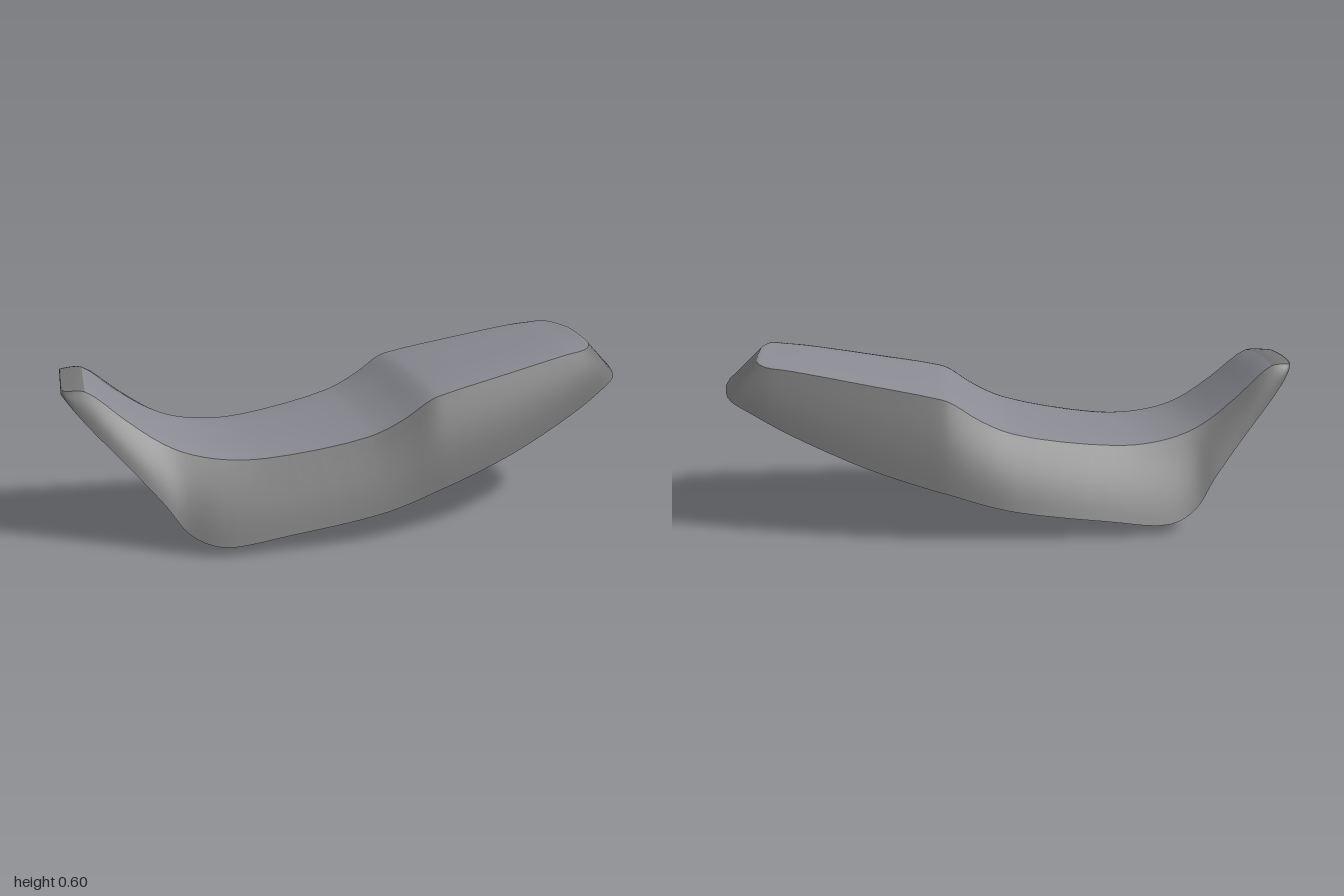
import * as THREE from 'three';
import { RoundedBoxGeometry } from 'three/addons/geometries/RoundedBoxGeometry.js';

const mat = (color) => new THREE.MeshStandardMaterial({ color, side: THREE.DoubleSide });
const coverMat = mat(0x8a8b92), skirtMat = mat(0x747474), baseMat = mat(0x808080), partMat = mat(0xcccccc);

// Half outline from nose to tail: seam x,y,z | crown height | hem x,y,z
const STATIONS = [
  [-1.0, 0.545, 0.13, 0.556, -1.0, 0.53, 0.135],
  [-0.985, 0.543, 0.148, 0.556, -0.98, 0.505, 0.165],
  [-0.925, 0.54, 0.158, 0.553, -0.93, 0.44, 0.195],
  [-0.8, 0.435, 0.178, 0.45, -0.8, 0.29, 0.252],
  [-0.7, 0.358, 0.195, 0.372, -0.7, 0.17, 0.3],
  [-0.62, 0.317, 0.21, 0.33, -0.63, 0.075, 0.337],
  [-0.5, 0.288, 0.23, 0.303, -0.53, 0.035, 0.38],
  [-0.35, 0.284, 0.25, 0.302, -0.3, 0.06, 0.402],
  [0.0, 0.341, 0.29, 0.357, 0.0, 0.105, 0.418],
  [0.12, 0.395, 0.3, 0.411, 0.12, 0.135, 0.415],
  [0.22, 0.46, 0.304, 0.475, 0.22, 0.167, 0.409],
  [0.28, 0.477, 0.301, 0.493, 0.28, 0.184, 0.403],
  [0.5, 0.519, 0.278, 0.537, 0.5, 0.255, 0.37],
  [0.75, 0.564, 0.247, 0.583, 0.75, 0.36, 0.315],
  [0.83, 0.574, 0.232, 0.595, 0.88, 0.425, 0.275],
  [0.862, 0.584, 0.2, 0.601, 0.955, 0.46, 0.23],
  [0.875, 0.595, 0.11, 0.602, 0.99, 0.482, 0.12],
  [0.88, 0.602, 0, 0.602, 1.0, 0.488, 0],
];
// Underside plate: x, y, half width of the flat, half width at the skirt, rise to the skirt
const PLATE = [
  [-0.97, 0.515, 0.12, 0.145, 0.01], [-0.8, 0.36, 0.16, 0.208, 0.01], [-0.7, 0.26, 0.17, 0.235, 0.02],
  [-0.6, 0.16, 0.17, 0.278, 0.03], [-0.5, 0.085, 0.17, 0.32, 0.05], [-0.35, 0.08, 0.18, 0.34, 0.06],
  [-0.12, 0.105, 0.2, 0.373, 0.04], [-0.06, 0.115, 0.28, 0.38, 0.035], [0.1, 0.17, 0.295, 0.375, 0.04],
  [0.33, 0.265, 0.295, 0.355, 0.04], [0.6, 0.36, 0.28, 0.312, 0.03], [0.78, 0.43, 0.25, 0.275, 0.02],
  [0.88, 0.465, 0.22, 0.245, 0.005], [0.94, 0.478, 0.16, 0.19, 0],
];
const STEPS = 4;

// Surface through rows of points
function grid(name, rows, material) {
  const n = rows[0].length, index = [];
  for (let i = 0; i < rows.length - 1; i++) {
    for (let j = 0; j < n - 1; j++) {
      const a = i * n + j, c = a + n;
      index.push(a, a + 1, c, a + 1, c + 1, c);
    }
  }
  const geometry = new THREE.BufferGeometry().setFromPoints(rows.flat());
  geometry.setIndex(index);
  geometry.computeVertexNormals();
  return named(name, geometry, material);
}

function named(name, geometry, material, x = 0, y = 0, z = 0) {
  const mesh = new THREE.Mesh(geometry, material);
  mesh.name = name;
  mesh.position.set(x, y, z);
  return mesh;
}

const box = (name, w, h, d, x, y, z) =>
  named(name, new RoundedBoxGeometry(w, h, d, 1, Math.min(w, h, d) * 0.15), partMat, x, y, z);

function sample(pick) {
  const curve = new THREE.CatmullRomCurve3(STATIONS.map(pick));
  return curve.getPoints((STATIONS.length - 1) * STEPS);
}

function plateY(x) {
  const k = Math.max(1, PLATE.findIndex((p) => p[0] >= x));
  const a = PLATE[k - 1], b = PLATE[k];
  return a[1] + ((b[1] - a[1]) * (x - a[0])) / (b[0] - a[0]);
}

const mirrorZ = (p) => new THREE.Vector3(p.x, p.y, -p.z);
// Continue half rows round the tail and along the other side
const wrap = (rows) => [...rows, ...rows.slice(0, -1).reverse().map((r) => r.map(mirrorZ))];

function buildShell(group) {
  const seam = sample((s) => new THREE.Vector3(s[0], s[1], s[2]));
  const crown = sample((s) => new THREE.Vector3(s[0], s[3], 0));
  const hem = sample((s) => new THREE.Vector3(s[4], s[5], s[6]));

  // Crowned top, split into nose lip and padded cover
  const top = seam.map((p, i) => Array.from({ length: 21 }, (_, j) => {
    const t = j / 10 - 1;
    return new THREE.Vector3(p.x, p.y + (crown[i].y - p.y) * (1 - Math.abs(t) ** 3), p.z * t);
  }));
  const rolled = top[0].map((p) => new THREE.Vector3(p.x + 0.015, p.y - 0.025, p.z));
  group.add(grid('noseLip', [rolled, ...top.slice(0, 2 * STEPS + 1)], skirtMat));
  group.add(grid('seatCover', top.slice(2 * STEPS), coverMat));

  // Side skirt with a slight outward bulge
  const side = seam.map((p, i) => Array.from({ length: 9 }, (_, j) => {
    const t = j / 8, q = p.clone().lerp(hem[i], t);
    q.z *= 1 + 0.03 * Math.sin(Math.PI * t);
    return q;
  }));
  group.add(grid('sideSkirt', wrap(side), skirtMat));

  // Inward return along the hem
  const flange = hem.map((p) => [p, new THREE.Vector3(p.x > 0 ? p.x * 0.975 : p.x, p.y + 0.006, p.z * 0.97)]);
  group.add(grid('hemFlange', wrap(flange), skirtMat));
}

function buildBase(group) {
  // Plate whose edges rise to meet the skirt
  const rows = PLATE.map(([x, y, w, outer, rise]) => [[outer, rise], [w, 0.004], [w - 0.02, 0], [0, 0], [0.02 - w, 0], [-w, 0.004], [-outer, rise]]
    .map(([z, dy]) => new THREE.Vector3(x, y + dy, z)));
  group.add(grid('basePlate', rows, baseMat));

  // Raised rails between the ladders: z range, x range
  const rails = [[0.19, 0.228, -0.04, 0.64], [0.105, 0.135, -0.25, 0.64], [-0.022, 0.02, -0.25, 0.64], [-0.165, -0.102, -0.11, 0.64]];
  for (const [z0, z1, x0, x1] of rails) {
    const strip = Array.from({ length: 17 }, (_, i) => {
      const x = x0 + ((x1 - x0) * i) / 16, y = plateY(x);
      return [[z1, y], [z1, y - 0.018], [z0, y - 0.018], [z0, y]].map(([z, h]) => new THREE.Vector3(x, h, z));
    });
    const rail = grid('baseRail', strip, baseMat);
    rail.geometry = rail.geometry.toNonIndexed();
    rail.geometry.computeVertexNormals();
    group.add(rail);
  }

  // Ladders of stiffening ribs: centre z, width, first x, last x
  const ladders = [[0.265, 0.07, 0.02, 0.58], [0.165, 0.055, -0.08, 0.6], [0.062, 0.08, -0.2, 0.6],
    [-0.062, 0.075, -0.2, 0.6], [-0.205, 0.08, 0.02, 0.58], [0.145, 0.05, 0.68, 0.8], [0.03, 0.09, 0.68, 0.8],
    [-0.1, 0.06, 0.68, 0.8], [0.1, 0.05, -0.85, -0.72], [-0.1, 0.05, -0.85, -0.72]];
  for (const [z, w, x0, x1] of ladders) {
    const count = Math.round((x1 - x0) / 0.065);
    for (let k = 0; k <= count; k++) {
      const x = x0 + ((x1 - x0) * k) / count;
      group.add(box('baseRib', 0.025, 0.024, w, x, plateY(x) - 0.006, z));
    }
  }
  for (const z of [0.1, -0.03]) group.add(box('rearBlock', 0.05, 0.02, 0.035, 0.84, 0.45, z));
}

function buildFittings(group) {
  // Rubber support pads with a stepped collar
  const profile = [[0, -0.042], [0.024, -0.04], [0.038, -0.03], [0.04, -0.02], [0.045, -0.017], [0.045, 0.01], [0.036, 0.016], [0.036, 0.04]];
  const padGeometry = new THREE.LatheGeometry(profile.map((p) => new THREE.Vector2(...p)), 24);
  for (const [x, z] of [[0.78, 0.195], [0.78, -0.16], [0.33, 0.275], [0.33, -0.215]]) {
    const pad = named('supportPad', padGeometry, partMat, x, plateY(x) - 0.012, z);
    pad.rotation.z = 0.37;
    group.add(pad);
  }

  // Latch loop under the tail
  const loop = named('latchLoop', new THREE.TorusGeometry(0.018, 0.005, 8, 16, Math.PI), partMat, 0.75, 0.358, 0.03);
  loop.rotation.set(0, Math.PI / 2, Math.PI);
  group.add(loop, box('latchBlock', 0.05, 0.03, 0.09, 0.72, 0.405, 0.03));
  for (const s of [-1, 1]) group.add(box('latchArm', 0.012, 0.05, 0.01, 0.75, 0.375, 0.03 + s * 0.018));

  // Side brackets, each with two studs
  for (const z of [0.245, -0.21]) {
    group.add(box('sideBracket', 0.1, 0.03, 0.055, -0.05, 0.11, z));
    for (const dx of [-0.025, 0.02]) {
      group.add(named('bracketStud', new THREE.CylinderGeometry(0.012, 0.012, 0.02, 12), partMat, -0.06 + dx, 0.094, z));
    }
  }

  // Front crossbar, end lugs and tongues
  const bar = named('frontCrossbar', new THREE.CylinderGeometry(0.012, 0.012, 0.29, 12), partMat, -0.36, 0.067, 0.025);
  bar.rotation.x = Math.PI / 2;
  group.add(bar, box('crossPanel', 0.12, 0.016, 0.28, -0.4, 0.075, 0.025));
  for (const z of [0.165, -0.105]) group.add(box('crossbarLug', 0.05, 0.035, 0.025, -0.3, 0.073, z));
  for (const z of [0.1, -0.06]) {
    group.add(box('frontTongue', 0.115, 0.022, 0.052, -0.465, 0.011, z));
    group.add(box('tonguePost', 0.03, 0.065, 0.045, -0.425, 0.045, z));
  }

  // Retaining wire between the lugs
  const path = [[0.15, 0.055], [0.08, 0.045], [0.02, 0.053], [-0.04, 0.045], [-0.1, 0.055]];
  const wire = new THREE.CatmullRomCurve3(path.map(([z, y]) => new THREE.Vector3(-0.33, y, z)));
  group.add(named('retainingWire', new THREE.TubeGeometry(wire, 24, 0.003, 6), partMat));
}

export function createModel() {
  const group = new THREE.Group();
  group.name = 'saddleSeat';
  buildShell(group);
  buildBase(group);
  buildFittings(group);
  return group;
}
